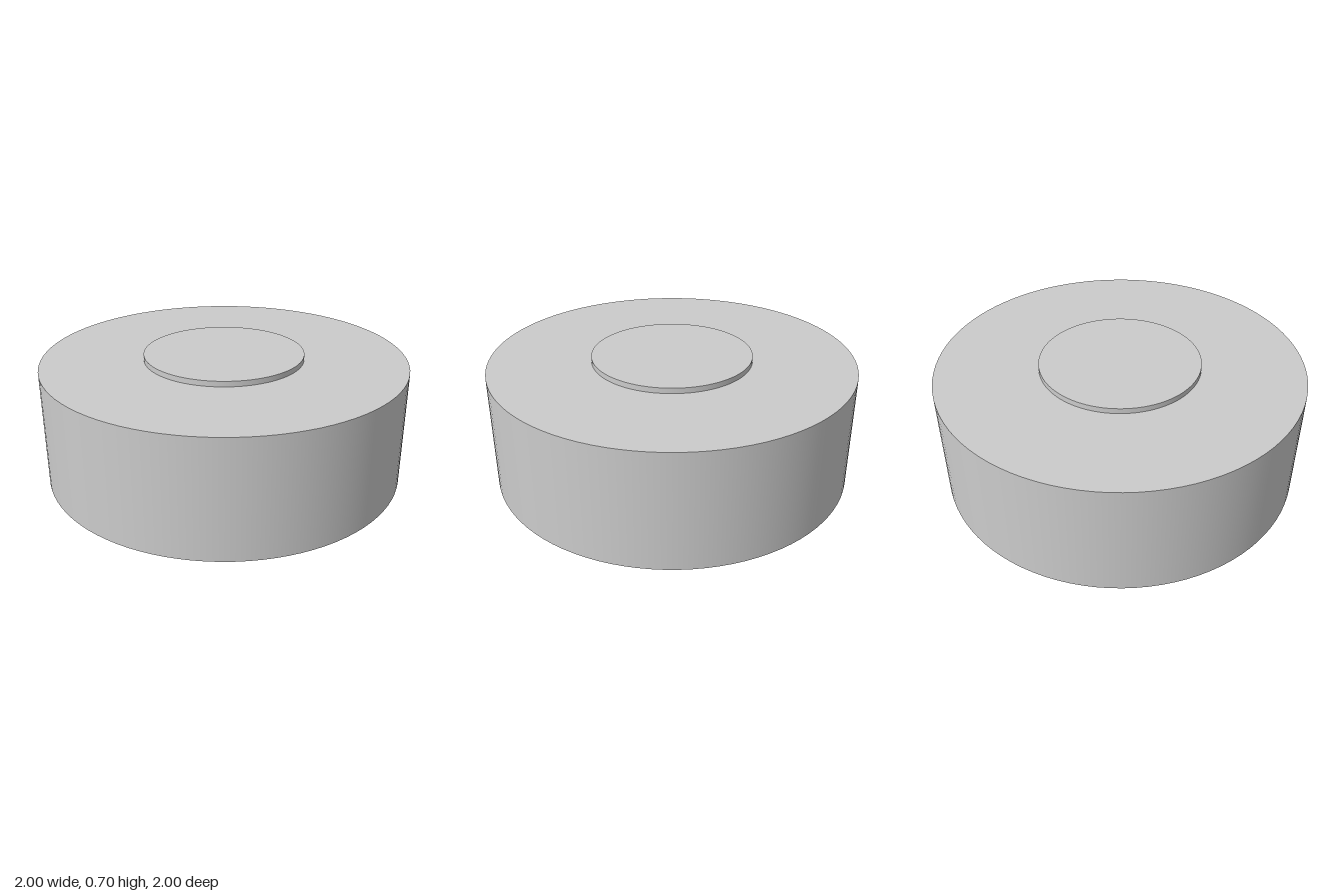
import * as THREE from 'three';

const RIM_RADIUS = 1, HUB_RADIUS = 0.44;
const HEIGHT = 0.7, HUB_STEP = 0.03;
const SEGMENTS = 96;

export function createModel() {
  const model = new THREE.Group();
  model.name = 'wheel';
  const material = new THREE.MeshStandardMaterial({ color: 0xcccccc });

  function addDisc(name, radius, height, y) {
    const disc = new THREE.Mesh(
      new THREE.CylinderGeometry(radius, radius, height, SEGMENTS), material);
    disc.name = name;
    disc.position.y = y;
    model.add(disc);
  }

  // Wide solid body
  addDisc('wheelBody', RIM_RADIUS, HEIGHT - 2 * HUB_STEP, HEIGHT / 2);

  // Raised hub, standing slightly proud of both faces
  addDisc('hub', HUB_RADIUS, HEIGHT, HEIGHT / 2);

  return model;
}
